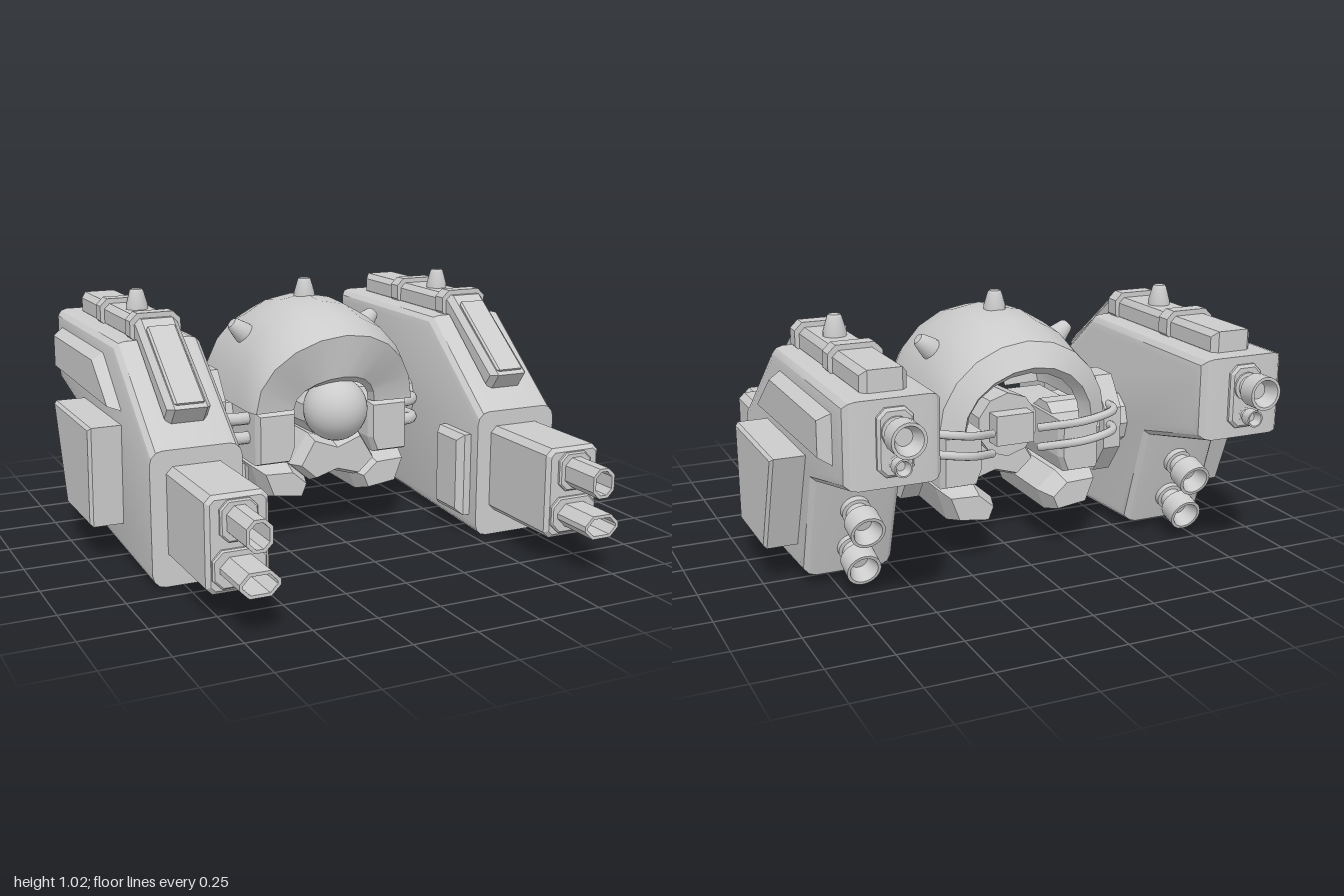
import * as THREE from 'three';
import { toCreasedNormals } from 'three/addons/utils/BufferGeometryUtils.js';

const material = new THREE.MeshStandardMaterial({ color: 0xcccccc, side: THREE.DoubleSide });
const V = (x, y, z) => new THREE.Vector3(x, y, z);

function add(parent, name, geometry, position = V(0, 0, 0), crease = 0.5) {
  const mesh = new THREE.Mesh(toCreasedNormals(geometry, crease), material);
  mesh.name = name;
  mesh.position.copy(position);
  parent.add(mesh);
  return mesh;
}

const shapeOf = (pts) => new THREE.Shape(pts.map(([x, y]) => new THREE.Vector2(x, y)));

// Extrusion centred on its depth, with a bevel kept inside the outline
function block(shape, depth, bevel = 0, thick = bevel, segments = 1) {
  const g = new THREE.ExtrudeGeometry(shape, {
    depth: depth - 2 * thick, bevelEnabled: bevel > 0, bevelSize: bevel,
    bevelThickness: thick, bevelOffset: -bevel, bevelSegments: segments,
  });
  return g.translate(0, 0, thick - depth / 2);
}

// Profile of [z, y] points, given a width along x
const slab = (pts, width, bevel, thick, seg) =>
  block(shapeOf(pts), width, bevel, thick, seg).rotateY(-Math.PI / 2);

// Rectangle with cut corners
const cutRect = (w, h, c) => [
  [-w / 2 + c, -h / 2], [w / 2 - c, -h / 2], [w / 2, -h / 2 + c], [w / 2, h / 2 - c],
  [w / 2 - c, h / 2], [-w / 2 + c, h / 2], [-w / 2, h / 2 - c], [-w / 2, -h / 2 + c],
];

// Hollow gun barrel along z
function barrel(w, h, c, wall, depth) {
  const s = shapeOf(cutRect(w, h, c));
  s.holes.push(shapeOf(cutRect(w - 2 * wall, h - 2 * wall, c * 0.8)));
  return block(s, depth);
}

// Lathed part from [radius, height] points, turned from +y to the given direction
function turned(parent, name, pts, at, dir, sides = 20) {
  const g = new THREE.LatheGeometry(pts.map(([r, y]) => new THREE.Vector2(r, y)), sides);
  const m = add(parent, name, g, at);
  m.quaternion.setFromUnitVectors(V(0, 1, 0), dir.clone().normalize());
  return m;
}

const nozzle = (parent, name, r, len, at, dir) => turned(parent, name, [
  [0, -0.03], [r * 0.85, -0.03], [r * 0.85, len * 0.14], [r * 0.65, len * 0.16], [r * 0.65, len * 0.4],
  [r, len * 0.46], [r, len], [r * 0.82, len], [r * 0.5, len * 0.6], [0, len * 0.6],
], at, dir);

const stud = (parent, name, at, dir) => turned(parent, name,
  [[0.045, -0.02], [0.043, 0.01], [0.028, 0.062], [0.022, 0.07], [0, 0.07]], at, dir, 16);

const cable = (parent, name, pts, r) => add(parent, name,
  new THREE.TubeGeometry(new THREE.CatmullRomCurve3(pts), 20, r, 8), V(0, 0, 0), 1);

function weaponPod(s) {
  const pod = new THREE.Group();
  pod.name = s > 0 ? 'leftPod' : 'rightPod';
  const X = 0.69 * s;

  // Hull, with its lengthwise edges rounded and its nose cut flat
  const hull = slab([[0.46, 0.01], [0.46, 0.53], [0.41, 0.53], [0.0, 0.86], [-0.86, 0.86],
    [-0.86, 0.55], [-0.47, 0.46], [-0.34, 0.05]], 0.36, 0.05, 0.05, 3);
  const p = hull.attributes.position;
  for (let i = 0; i < p.count; i++) p.setZ(i, Math.min(p.getZ(i), 0.41));
  add(pod, 'hull', hull, V(X, 0, 0));

  // Gun housing and twin barrels
  add(pod, 'gunHousing', block(shapeOf(cutRect(0.235, 0.355, 0.025)), 0.43, 0.015), V(X, 0.29, 0.595));
  add(pod, 'upperGunCollar', block(shapeOf(cutRect(0.14, 0.15, 0.03)), 0.03, 0.006), V(X, 0.375, 0.81));
  add(pod, 'lowerGunCollar', block(shapeOf(cutRect(0.2, 0.14, 0.035)), 0.03, 0.006), V(X, 0.205, 0.81));
  add(pod, 'upperBarrel', barrel(0.095, 0.115, 0.028, 0.012, 0.2), V(X, 0.373, 0.9));
  add(pod, 'lowerBarrel', barrel(0.15, 0.09, 0.035, 0.012, 0.2), V(X, 0.205, 0.9));

  // Top rail that follows the slope, with clamps and a stud
  add(pod, 'topRail', slab([[-0.78, 0.84], [-0.78, 0.94], [0.0, 0.94], [0.37, 0.665], [0.31, 0.59],
    [0.0, 0.84]], 0.17, 0.022), V(X, 0, 0));
  add(pod, 'slopeCover', slab([[0.05, 0.92], [0.36, 0.685], [0.33, 0.65], [0.03, 0.86]], 0.12, 0.008), V(X, 0, 0));
  for (const z of [-0.05, -0.45])
    add(pod, 'railClamp', block(shapeOf(cutRect(0.205, 0.12, 0.03)), 0.06), V(X, 0.9, z));
  stud(pod, 'railStud', V(X, 0.95, -0.25), V(0, 1, 0));

  // Outer armour panels
  add(pod, 'upperSidePanel', slab([[0.09, 0.61], [-0.13, 0.8], [-0.75, 0.8], [-0.75, 0.61]],
    0.12, 0.03, 0.05), V(0.855 * s, 0, 0));
  add(pod, 'lowerSidePanel', slab([[0.08, 0.555], [-0.43, 0.555], [-0.28, 0.16], [0.065, 0.16]],
    0.16, 0.012), V(0.92 * s, 0, 0));

  // Inner box
  add(pod, 'innerBox', slab([[0.36, 0.09], [0.36, 0.43], [0.16, 0.43], [0.16, 0.09]], 0.1, 0.025), V(0.505 * s, 0, 0));

  // Rear and underside thrusters
  add(pod, 'thrusterMount', block(shapeOf(cutRect(0.13, 0.24, 0.03)), 0.04, 0.01), V(X, 0.71, -0.86));
  const back = V(0, 0, -1), down = V(0, -0.3, -0.95);
  nozzle(pod, 'mainThruster', 0.063, 0.13, V(X, 0.75, -0.87), back);
  nozzle(pod, 'smallThruster', 0.032, 0.075, V(X, 0.64, -0.87), back);
  for (const [y, z] of [[0.325, -0.43], [0.16, -0.375]])
    nozzle(pod, 'lowerThruster', 0.066, 0.15, V(X, y, z), down);

  // Joint between the pod and the central body
  const disc = new THREE.CylinderGeometry(0.2, 0.2, 0.075, 8).rotateZ(Math.PI / 2)
    .rotateX(Math.PI / 8).scale(1, 1.08, 0.78);
  add(pod, 'jointDisc', disc, V(0.42 * s, 0.48, -0.225), 0.2);
  const axle = new THREE.CylinderGeometry(0.11, 0.11, 0.34, 10).rotateZ(Math.PI / 2);
  add(pod, 'axle', axle, V(0.35 * s, 0.48, -0.225));
  for (const y of [0.515, 0.435]) {
    cable(pod, 'frontCable', [V(0.43 * s, y, -0.1), V(0.435 * s, y, -0.01), V(0.4 * s, y, 0.03),
      V(0.3 * s, y, 0.03), V(0.18 * s, y, 0.0)], 0.026);
    cable(pod, 'rearCable', [V(0.41 * s, y + 0.06, -0.33), V(0.4 * s, y + 0.06, -0.41),
      V(0.35 * s, y + 0.06, -0.46), V(0.24 * s, y + 0.04, -0.46), V(0.1 * s, y, -0.35)], 0.017);
  }
  return pod;
}

// Arched helmet shell: rows of [z at crown, z at side, half width, height]
function helmetGeometry() {
  const rows = [
    [0.19, 0.1, 0.17, 0.11], [0.23, 0.14, 0.18, 0.135], [0.25, 0.15, 0.345, 0.305], [0.14, 0.1, 0.36, 0.37],
    [0.0, 0.0, 0.36, 0.405], [-0.15, -0.15, 0.36, 0.415], [-0.3, -0.28, 0.36, 0.395],
    [-0.45, -0.42, 0.35, 0.34], [-0.51, -0.47, 0.27, 0.25], [-0.47, -0.42, 0.24, 0.22],
  ];
  const n = 10, pos = [], index = [];
  rows.forEach(([zc, zs, w, h], r) => {
    for (let i = 0; i <= n; i++) {
      const a = (i / n) * Math.PI, side = Math.cos(a) ** 2;
      pos.push(w * Math.cos(a), 0.555 + h * Math.sin(a), zc + (zs - zc) * side);
      if (r && i) {
        const d = r * (n + 1) + i, b = d - n - 1;
        index.push(b - 1, d - 1, b, b, d - 1, d);
      }
    }
  });
  const g = new THREE.BufferGeometry();
  g.setAttribute('position', new THREE.Float32BufferAttribute(pos, 3));
  g.setIndex(index);
  g.computeVertexNormals();
  return g;
}

function centralBody() {
  const body = new THREE.Group();
  body.name = 'centralBody';
  add(body, 'helmet', helmetGeometry());
  for (const [x, y] of [[0, 0.965], [0.272, 0.825], [-0.272, 0.825]])
    stud(body, 'helmetStud', V(x, y, -0.15), V(x, y - 0.59, 0));

  // Eye and the core behind it
  add(body, 'eye', new THREE.SphereGeometry(0.13, 32, 20), V(0, 0.545, 0.145), 1);
  add(body, 'core', new THREE.CylinderGeometry(0.11, 0.13, 0.36, 10).rotateX(Math.PI / 2), V(0, 0.52, -0.1));
  add(body, 'coreBlock', new THREE.BoxGeometry(0.16, 0.12, 0.1), V(0, 0.52, -0.3));

  // Split lower shell: cheek and jaw on each side, chin in the middle
  for (const s of [1, -1]) {
    const part = (pts) => shapeOf(pts.map(([x, y]) => [x * s, y]));
    add(body, 'cheek', block(part([[0.335, 0.55], [0.335, 0.335], [0.19, 0.335], [0.165, 0.4],
      [0.165, 0.55]]), 0.56, 0.012, 0.03), V(0, 0, -0.14), 0.2);
    add(body, 'jaw', block(part([[0.335, 0.325], [0.29, 0.19], [0.135, 0.17], [0.1, 0.255],
      [0.18, 0.325]]), 0.58, 0.025, 0.09), V(0, 0, -0.14), 0.2);
  }
  add(body, 'chin', block(shapeOf([[0, 0.28], [0.1, 0.25], [0.185, 0.325], [0.11, 0.45], [0, 0.41],
    [-0.11, 0.45], [-0.185, 0.325], [-0.1, 0.25]]), 0.34, 0.02, 0.06), V(0, 0, 0.0), 0.2);
  return body;
}

export function createModel() {
  const model = new THREE.Group();
  model.name = 'podCraft';
  model.add(centralBody(), weaponPod(1), weaponPod(-1));
  return model;
}
